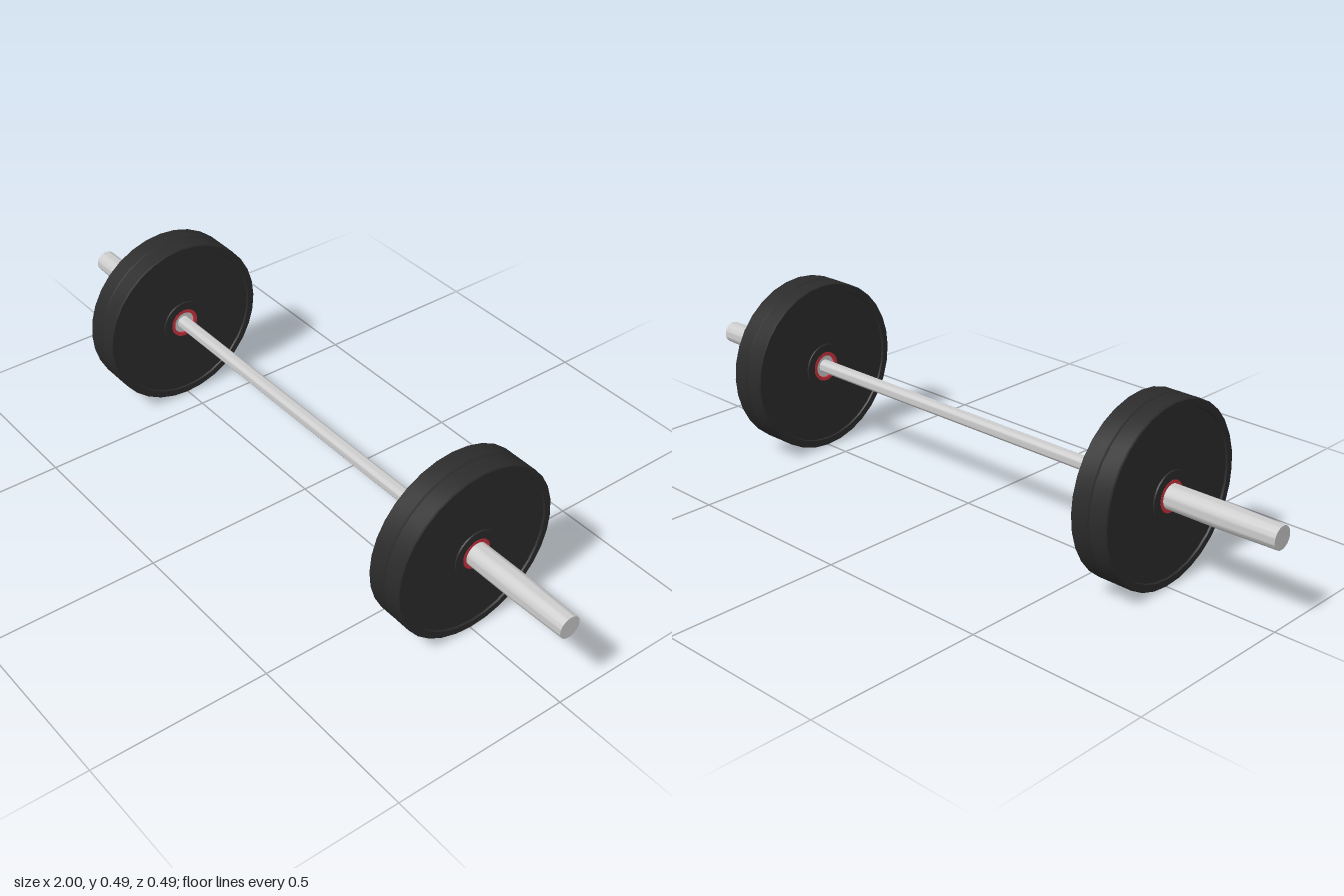
import * as THREE from 'three';
import { toCreasedNormals } from 'three/addons/utils/BufferGeometryUtils.js';

const SEGMENTS = 32;
const AXIS_Y = 0.247;      // height of the bar's axis
const PLATE_START = 0.573; // inner face of the first plate
const PLATE_WIDTH = 0.055;

const steel = new THREE.MeshStandardMaterial({ color: 0xcccccc });
const rubber = new THREE.MeshStandardMaterial({ color: 0x2b2b2b });
const red = new THREE.MeshStandardMaterial({ color: 0xcc3340 });

// Turn a profile of [position along x, radius] pairs around the x axis
function turned(name, profile, material) {
  const points = profile.map(([x, r]) => new THREE.Vector2(r, x));
  const geometry = new THREE.LatheGeometry(points, SEGMENTS).rotateZ(-Math.PI / 2);
  const mesh = new THREE.Mesh(toCreasedNormals(geometry, 0.6), material);
  mesh.name = name;
  return mesh;
}

// Half profile of one plate face, from bore to outer edge, at half width h
const plateFace = (h) => [
  [h - 0.001, 0.043], [h - 0.001, 0.066], [h - 0.005, 0.067],
  [h - 0.005, 0.224], [h, 0.226], [h, 0.244], [h - 0.003, 0.247],
];

function createPlate() {
  const plate = new THREE.Group();
  plate.name = 'weightPlate';
  const h = PLATE_WIDTH / 2;
  const face = plateFace(h);
  const back = face.map(([x, r]) => [-x, r]);

  // Rubber disc with raised rim and hub on both faces
  plate.add(turned('disc', [...back, ...face.reverse(), back[0]], rubber));

  // Red bushing lining the bore
  const b = h - 0.0005;
  plate.add(turned('bushing',
    [[-b, 0.033], [-b, 0.043], [b, 0.043], [b, 0.033], [-b, 0.033]], red));
  return plate;
}

function createLoadedEnd() {
  const end = new THREE.Group();
  // Sleeve, tapering gently to its tip
  end.add(turned('sleeve', [
    [0.58, 0], [0.58, 0.033], [0.84, 0.034], [1, 0.031], [1, 0],
  ], steel));
  // Pair of plates
  for (let i = 0; i < 2; i++) {
    const plate = createPlate();
    plate.position.x = PLATE_START + PLATE_WIDTH * (i + 0.5);
    end.add(plate);
  }
  return end;
}

export function createModel() {
  const barbell = new THREE.Group();
  barbell.name = 'barbell';

  // Grip shaft between the plates
  barbell.add(turned('shaft',
    [[-0.6, 0], [-0.6, 0.019], [0.6, 0.019], [0.6, 0]], steel));

  // Matching loaded ends
  for (const side of ['left', 'right']) {
    const end = createLoadedEnd();
    end.name = side + 'End';
    if (side === 'right') end.rotation.y = Math.PI;
    barbell.add(end);
  }

  barbell.position.y = AXIS_Y;
  const model = new THREE.Group();
  model.add(barbell);
  return model;
}
